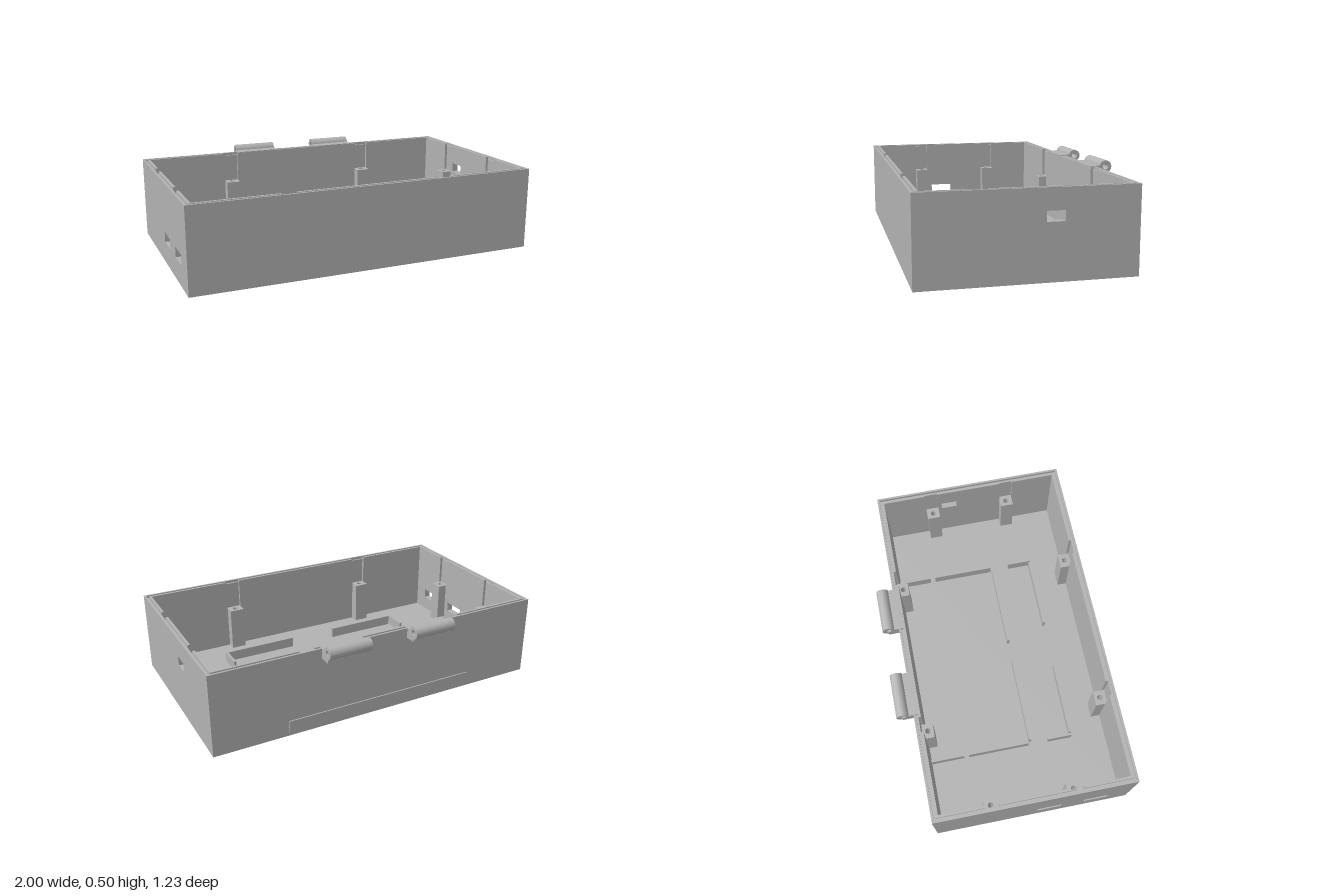
import * as THREE from 'three';
import { toCreasedNormals } from 'three/addons/utils/BufferGeometryUtils.js';

const X = 1, BACK = -0.52, FRONT = 0.615, TOP = 0.47;
const FLOOR = 0.04, POST_TOP = 0.295;

const casing = new THREE.MeshStandardMaterial({ color: 0xb2b2b2 });
casing.name = 'casingGrey';

export function createModel() {
  const model = new THREE.Group();
  model.name = 'enclosureBase';

  const add = (geometry, name) => {
    const mesh = new THREE.Mesh(geometry, casing);
    mesh.name = name;
    model.add(mesh);
    return mesh;
  };
  const box = (x0, x1, y0, y1, z0, z1, name) =>
    add(new THREE.BoxGeometry(x1 - x0, y1 - y0, z1 - z0)
      .translate((x0 + x1) / 2, (y0 + y1) / 2, (z0 + z1) / 2), name);
  const polygon = (points) => new THREE.Shape(points.map(([u, v]) => new THREE.Vector2(u, v)));
  const extrude = (shape, depth) =>
    new THREE.ExtrudeGeometry(shape, { depth, bevelEnabled: false, curveSegments: 24 });

  // Upright wall panel: u runs along the wall, slots open at the top, windows pierce it
  const panel = (u0, u1, top, thickness, slots, windows) => {
    const points = [[u0, FLOOR], [u1, FLOOR], [u1, top]];
    [...slots].sort((a, b) => b[0] - a[0]).forEach(([a, b]) =>
      points.push([b, top], [b, POST_TOP], [a, POST_TOP], [a, top]));
    points.push([u0, top]);
    const shape = polygon(points);
    windows.forEach(([a, b, y0, y1]) =>
      shape.holes.push(polygon([[a, y0], [a, y1], [b, y1], [b, y0]])));
    return extrude(shape, thickness);
  };

  // Floor
  box(-X, X, 0, FLOOR, BACK, FRONT, 'floor');

  // Screw posts stand partly in slots cut into the inner wall
  const longSlots = [[-0.5, -0.415], [0.405, 0.492]];
  const sideSlots = [[-0.23, -0.152], [0.244, 0.322]];
  const leftWindows = [[-0.13, -0.035, 0.302, 0.356]];
  const rightWindows = [[0.07, 0.21, 0.122, 0.18], [0.343, 0.484, 0.122, 0.18]];

  // Walls in three skins: outer lip, groove bottom, inner lip
  const skins = [
    { name: 'outerWall', inset: 0, t: 0.012, top: TOP, slotted: false },
    { name: 'grooveWall', inset: 0.012, t: 0.012, top: TOP - 0.015, slotted: false },
    { name: 'innerWall', inset: 0.024, t: 0.015, top: TOP, slotted: true },
  ];
  for (const { name, inset, t, top, slotted } of skins) {
    const long = slotted ? longSlots : [], side = slotted ? sideSlots : [];
    const x = X - inset, z0 = BACK + inset, z1 = FRONT - inset;
    add(panel(-x, x, top, t, long, []).translate(0, 0, z1 - t), name + 'Front');
    add(panel(-x, x, top, t, long, []).translate(0, 0, z0), name + 'Back');
    add(panel(z0 + t, z1 - t, top, t, side, leftWindows)
      .rotateY(-Math.PI / 2).translate(x, 0, 0), name + 'Left');
    add(panel(z0 + t, z1 - t, top, t, side, rightWindows)
      .rotateY(-Math.PI / 2).translate(-x + t, 0, 0), name + 'Right');
  }

  // Screw posts with round bores
  const post = (x0, x1, z0, z1, hx, hz) => {
    const shape = polygon([[x0, -z1], [x1, -z1], [x1, -z0], [x0, -z0]]);
    shape.holes.push(new THREE.Path().absarc(hx, -hz, 0.016, 0, Math.PI * 2, true));
    const geometry = extrude(shape, POST_TOP - FLOOR).rotateX(-Math.PI / 2).translate(0, FLOOR, 0);
    add(toCreasedNormals(geometry, 0.6), 'screwPost');
  };
  for (const [a, b] of longSlots) {
    post(a, b, BACK + 0.024, -0.43, (a + b) / 2, -0.463);
    post(a, b, 0.522, FRONT - 0.024, (a + b) / 2, 0.555);
  }
  for (const [a, b] of sideSlots) {
    post(-X + 0.024, -0.905, a, b, -0.942, (a + b) / 2);
    post(0.905, X - 0.024, a, b, 0.938, (a + b) / 2);
  }

  // Low dividers on the floor
  const DIV = FLOOR + 0.06;
  for (const x of [-0.594, 0.588]) {
    for (const [a, b] of [[-0.483, -0.285], [-0.255, 0.11], [0.227, 0.373]]) {
      box(x - 0.007, x + 0.007, FLOOR, DIV, a, b, 'sideDivider');
    }
  }
  for (const [z, a, b] of [[0.122, -0.58, -0.072], [0.122, 0.067, 0.575],
    [0.368, -0.58, -0.147], [0.368, 0.142, 0.575]]) {
    box(a, b, FLOOR, DIV, z - 0.007, z + 0.007, 'crossDivider');
  }

  // Raised strip low on the back
  box(-0.58, 0.575, 0.02, 0.09, BACK - 0.007, BACK, 'backStrip');

  // Hinge knuckles with arms reaching over the rim
  const cz = -0.581, cy = 0.467, r = 0.035;
  const hinge = polygon([[-0.586, 0.413], [BACK, 0.413], [BACK, 0.455], [-0.483, 0.455],
    [-0.483, 0.473], [-0.547, 0.473]]);
  hinge.absarc(cz, cy, r, 0.17, 4.57, false);
  hinge.holes.push(new THREE.Path().absarc(cz, cy, 0.0165, 0, Math.PI * 2, true));
  for (const [a, b] of [[-0.398, -0.147], [0.125, 0.377]]) {
    const geometry = extrude(hinge, b - a).rotateY(-Math.PI / 2).translate(b, 0, 0);
    add(toCreasedNormals(geometry, 0.5), 'hingeKnuckle');
  }

  return model;
}
